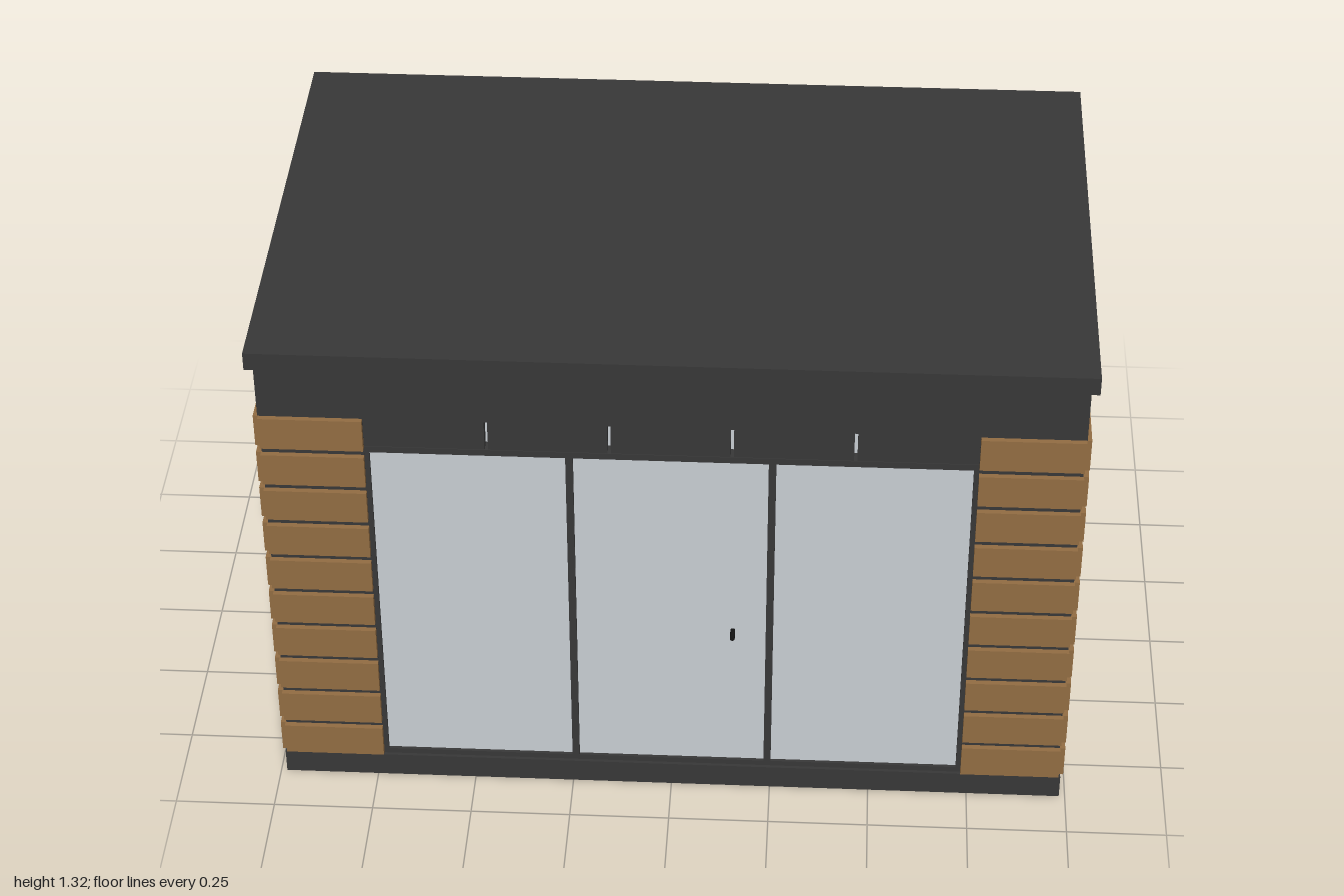
import * as THREE from 'three';

export function createModel() {
  const model = new THREE.Group();
  model.name = 'gardenRoom';

  const mat = (name, color) => {
    const m = new THREE.MeshStandardMaterial({ color });
    m.name = name;
    return m;
  };
  const charcoal = mat('charcoal', 0x383838);
  const timber = mat('timber', 0x936d43);
  const glass = mat('paleGlass', 0xc9cfd4);
  const black = mat('black', 0x141414);

  // Box given by its lower and upper corner
  function box(name, material, [x0, y0, z0], [x1, y1, z1], parent = model) {
    const mesh = new THREE.Mesh(new THREE.BoxGeometry(x1 - x0, y1 - y0, z1 - z0), material);
    mesh.position.set((x0 + x1) / 2, (y0 + y1) / 2, (z0 + z1) / 2);
    mesh.name = name;
    parent.add(mesh);
    return mesh;
  }

  // Base, walls and roof
  box('base', charcoal, [-0.985, 0, -0.62], [0.985, 0.065, 0.62]);
  box('walls', charcoal, [-0.978, 0.065, -0.613], [0.978, 1.13, 0.58]);
  box('upperWalls', charcoal, [-0.981, 1.13, -0.616], [0.981, 1.278, 0.616]);
  box('roof', charcoal, [-1, 1.275, -0.632], [1, 1.322, 0.632]);
  for (const s of [-1, 1]) {
    const a = s * 0.732, b = s * 0.978;
    box('frontPier', charcoal, [Math.min(a, b), 0.065, 0.58], [Math.max(a, b), 1.13, 0.613]);
  }

  // Timber slats wrapped round the four corners
  const slats = new THREE.Group();
  slats.name = 'cornerSlats';
  model.add(slats);
  for (const sx of [-1, 1]) {
    for (const sz of [-1, 1]) {
      for (let i = 0; i < 10; i++) {
        const y = 0.07 + i * 0.1078;
        const facing = new THREE.Mesh(new THREE.BoxGeometry(0.248, 0.088, 0.016), timber);
        facing.position.set(sx * 0.856, y + 0.044, sz * 0.619);
        facing.name = 'endSlat';
        const side = new THREE.Mesh(new THREE.BoxGeometry(0.016, 0.088, 0.148), timber);
        side.position.set(sx * 0.984, y + 0.044, sz * 0.54);
        side.name = 'sideSlat';
        slats.add(facing, side);
      }
    }
  }

  // Glazed doors: three panes in a slim frame
  const doors = new THREE.Group();
  doors.name = 'glazedDoors';
  model.add(doors);
  box('doorSill', charcoal, [-0.732, 0.065, 0.58], [0.732, 0.08, 0.612], doors);
  box('doorHead', charcoal, [-0.732, 1.028, 0.58], [0.732, 1.045, 0.612], doors);
  for (const x of [-0.726, -0.2425, 0.2425, 0.726]) {
    const w = Math.abs(x) > 0.5 ? 0.006 : 0.009;
    box('doorStile', charcoal, [x - w, 0.08, 0.58], [x + w, 1.028, 0.612], doors);
  }
  for (const x of [-0.484, 0, 0.484]) {
    box('doorPane', glass, [x - 0.24, 0.08, 0.596], [x + 0.24, 1.028, 0.604], doors);
  }

  // Transom panels with narrow light slots between them
  const pitch = 1.464 / 5;
  for (let i = 0; i < 5; i++) {
    const x = -0.732 + i * pitch;
    box('transomPanel', charcoal, [x + (i > 0 ? 0.004 : 0), 1.045, 0.58],
      [x + pitch - (i < 4 ? 0.004 : 0), 1.13, 0.61], doors);
    if (i > 0) box('transomSlot', glass, [x - 0.004, 1.048, 0.578], [x + 0.004, 1.13, 0.583], doors);
  }

  // Door handle
  const handle = new THREE.Mesh(new THREE.CylinderGeometry(0.006, 0.006, 0.036, 12), black);
  handle.rotation.x = Math.PI / 2;
  handle.position.set(0.152, 0.503, 0.62);
  handle.name = 'doorHandle';
  doors.add(handle);

  return model;
}
